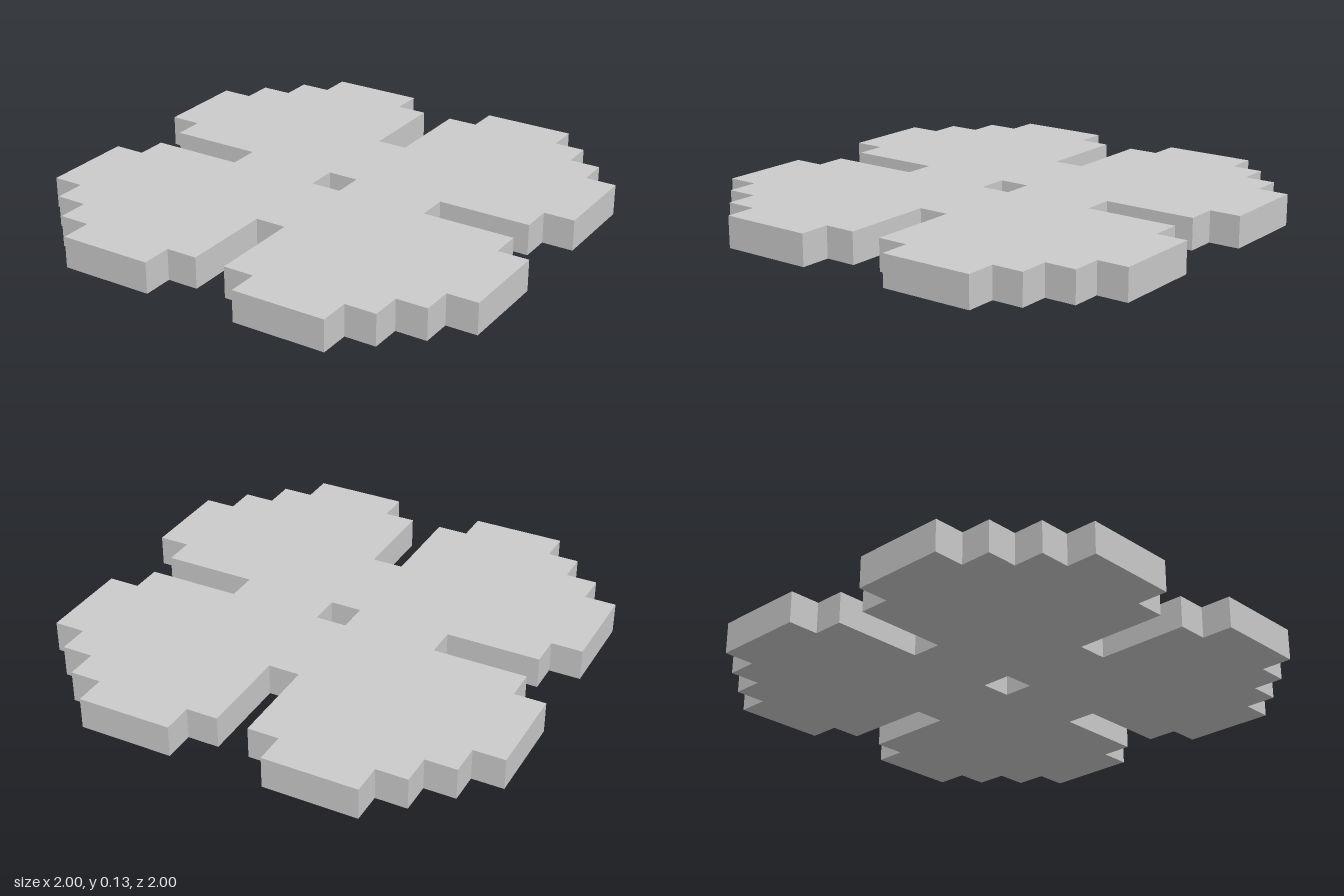
import * as THREE from 'three';

// Everything sits on a 15 x 15 grid of square cells
const CELL = 2 / 15;

// Stepped edge of one lobe, in cells, from one slot to the next
const LOBE = [
  [3.5, 0.5], [6.5, 0.5], [6.5, 1.5], [7.5, 1.5], [7.5, 4.5],
  [6.5, 4.5], [6.5, 5.5], [5.5, 5.5], [5.5, 6.5], [4.5, 6.5],
  [4.5, 7.5], [1.5, 7.5], [1.5, 6.5], [0.5, 6.5], [0.5, 3.5],
];

// Repeats a run of points at four quarter turns
function quarterTurns(points) {
  const outline = [];
  let run = points;
  for (let i = 0; i < 4; i++) {
    outline.push(...run.map(([x, y]) => new THREE.Vector2(x * CELL, y * CELL)));
    run = run.map(([x, y]) => [-y, x]);
  }
  return outline;
}

export function createModel() {
  const group = new THREE.Group();
  group.name = 'fourLobedPlate';

  // Four-lobed outline with a square hole in the middle
  const shape = new THREE.Shape(quarterTurns(LOBE));
  shape.holes.push(new THREE.Path(quarterTurns([[0.5, 0.5]])));

  // One cell thick, laid flat on the floor
  const geometry = new THREE.ExtrudeGeometry(shape, { depth: CELL, bevelEnabled: false });
  geometry.rotateX(-Math.PI / 2);

  const plate = new THREE.Mesh(
    geometry,
    new THREE.MeshStandardMaterial({ color: 0xcccccc, flatShading: true })
  );
  plate.name = 'plate';
  group.add(plate);
  return group;
}
